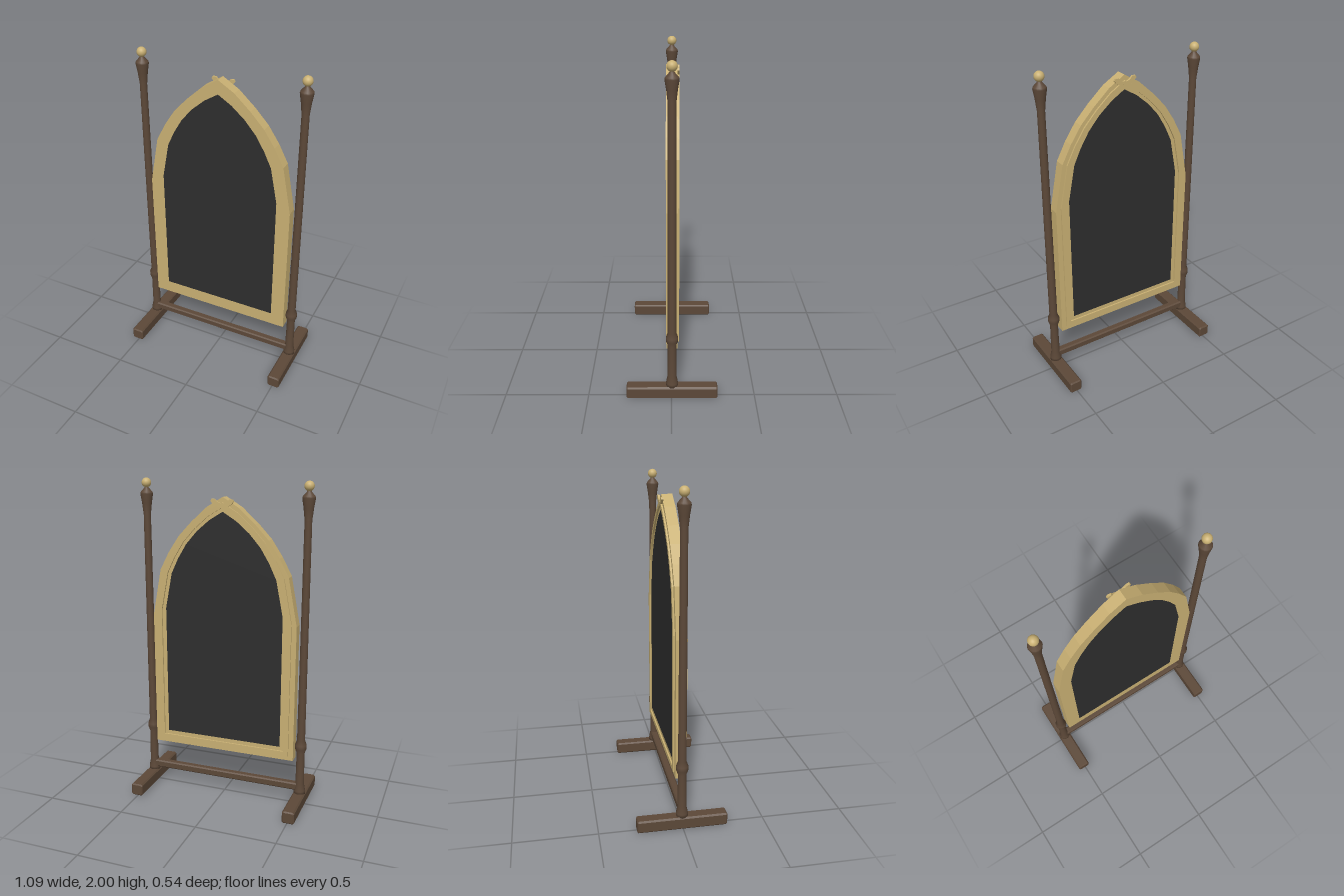
import * as THREE from 'three';

const wood = new THREE.MeshStandardMaterial({ color: 0x5c4838 });
wood.name = 'dark wood';
const gold = new THREE.MeshStandardMaterial({ color: 0xc9b073 });
gold.name = 'gold';
const glass = new THREE.MeshStandardMaterial({ color: 0x2e2e2e });
glass.name = 'dark glass';

// Right half of the pointed arch, from bottom corner to apex
const OUTER = [[0.465, 0.3], [0.465, 1.16], [0.41, 1.45], [0.352, 1.56], [0.285, 1.66], [0.2, 1.75], [0.1, 1.84], [0, 1.9]];
const INNER = [[0.378, 0.383], [0.378, 1.21], [0.335, 1.43], [0.29, 1.525], [0.235, 1.615], [0.165, 1.695], [0.085, 1.763], [0, 1.815]];

// Closed arch outline, blended from outer edge (t = 0) to inner edge (t = 1)
function archPoints(t) {
  const half = OUTER.map(([x, y], i) => new THREE.Vector2(
    THREE.MathUtils.lerp(x, INNER[i][0], t), THREE.MathUtils.lerp(y, INNER[i][1], t)));
  const mirrored = half.slice(0, -1).reverse().map(p => new THREE.Vector2(-p.x, p.y));
  return [...half, ...mirrored];
}

function slab(shape, z0, z1) {
  return new THREE.ExtrudeGeometry(shape, { depth: z1 - z0, bevelEnabled: false }).translate(0, 0, z0);
}

function archRing(t0, t1, z0, z1) {
  const shape = new THREE.Shape(archPoints(t0));
  shape.holes.push(new THREE.Path(archPoints(t1)));
  return slab(shape, z0, z1);
}

// Bar along z with all edges chamfered
function chamferedBar(w, h, length, c) {
  const a = w / 2 - c, b = h / 2 - c, k = c * 0.4;
  const shape = new THREE.Shape([
    [a, -b - k], [a + k, -b], [a + k, b], [a, b + k],
    [-a, b + k], [-a - k, b], [-a - k, -b], [-a, -b - k],
  ].map(p => new THREE.Vector2(...p)));
  const bevel = c - k;
  return new THREE.ExtrudeGeometry(shape, {
    depth: length - 2 * bevel, bevelSize: bevel, bevelThickness: bevel, bevelSegments: 1,
  }).translate(0, 0, -length / 2 + bevel);
}

function add(group, name, geometry, material, x = 0, y = 0, z = 0) {
  const mesh = new THREE.Mesh(geometry, material);
  mesh.name = name;
  mesh.position.set(x, y, z);
  group.add(mesh);
  return mesh;
}

export function createModel() {
  const model = new THREE.Group();
  model.name = 'standingMirror';

  // Turned post profile: base collar, knob, long taper, flared capital
  const profile = [
    [0, 0.07], [0.036, 0.07], [0.036, 0.095], [0.027, 0.14], [0.025, 0.35], [0.036, 0.38],
    [0.036, 0.405], [0.025, 0.435], [0.022, 1.78], [0.03, 1.85], [0.039, 1.905],
    [0.036, 1.915], [0.014, 1.94], [0.012, 1.95], [0, 1.95],
  ].map(p => new THREE.Vector2(...p));

  for (const side of [-1, 1]) {
    const stand = new THREE.Group();
    stand.name = side > 0 ? 'leftStand' : 'rightStand';
    stand.position.set(side * 0.506, 0, -0.003);
    add(stand, 'foot', chamferedBar(0.077, 0.078, 0.544, 0.012), wood, 0, 0.039, 0);
    add(stand, 'post', new THREE.LatheGeometry(profile, 16), wood);
    add(stand, 'finialBall', new THREE.SphereGeometry(0.029, 20, 14), gold, 0, 1.971, 0);
    model.add(stand);
  }

  // Rail joining the two posts
  const rail = add(model, 'crossRail', chamferedBar(0.045, 0.047, 1.0, 0.01), wood, 0, 0.12, -0.003);
  rail.rotation.y = Math.PI / 2;

  // Mirror frame, glass and the raised moulding behind
  add(model, 'frame', archRing(0, 1, -0.035, 0.031), gold);
  add(model, 'glass', slab(new THREE.Shape(archPoints(1)), -0.0355, 0.0315), glass);
  add(model, 'backMoulding', archRing(0.35, 0.7, -0.045, -0.034), gold);

  // Crest at the back of the apex: two curled leaves and a centre bead
  for (const side of [-1, 1]) {
    const leaf = new THREE.Shape();
    leaf.moveTo(0, 1.838);
    leaf.quadraticCurveTo(side * 0.035, 1.838, side * 0.06, 1.862);
    leaf.lineTo(side * 0.072, 1.876);
    leaf.lineTo(side * 0.066, 1.888);
    leaf.lineTo(side * 0.045, 1.888);
    leaf.quadraticCurveTo(side * 0.03, 1.866, 0, 1.862);
    add(model, side > 0 ? 'leftCrestLeaf' : 'rightCrestLeaf', slab(leaf, -0.047, -0.034), gold);
  }
  const bead = add(model, 'crestBead', new THREE.CylinderGeometry(0.014, 0.014, 0.014, 12), gold, 0, 1.85, -0.041);
  bead.rotation.x = Math.PI / 2;

  return model;
}
